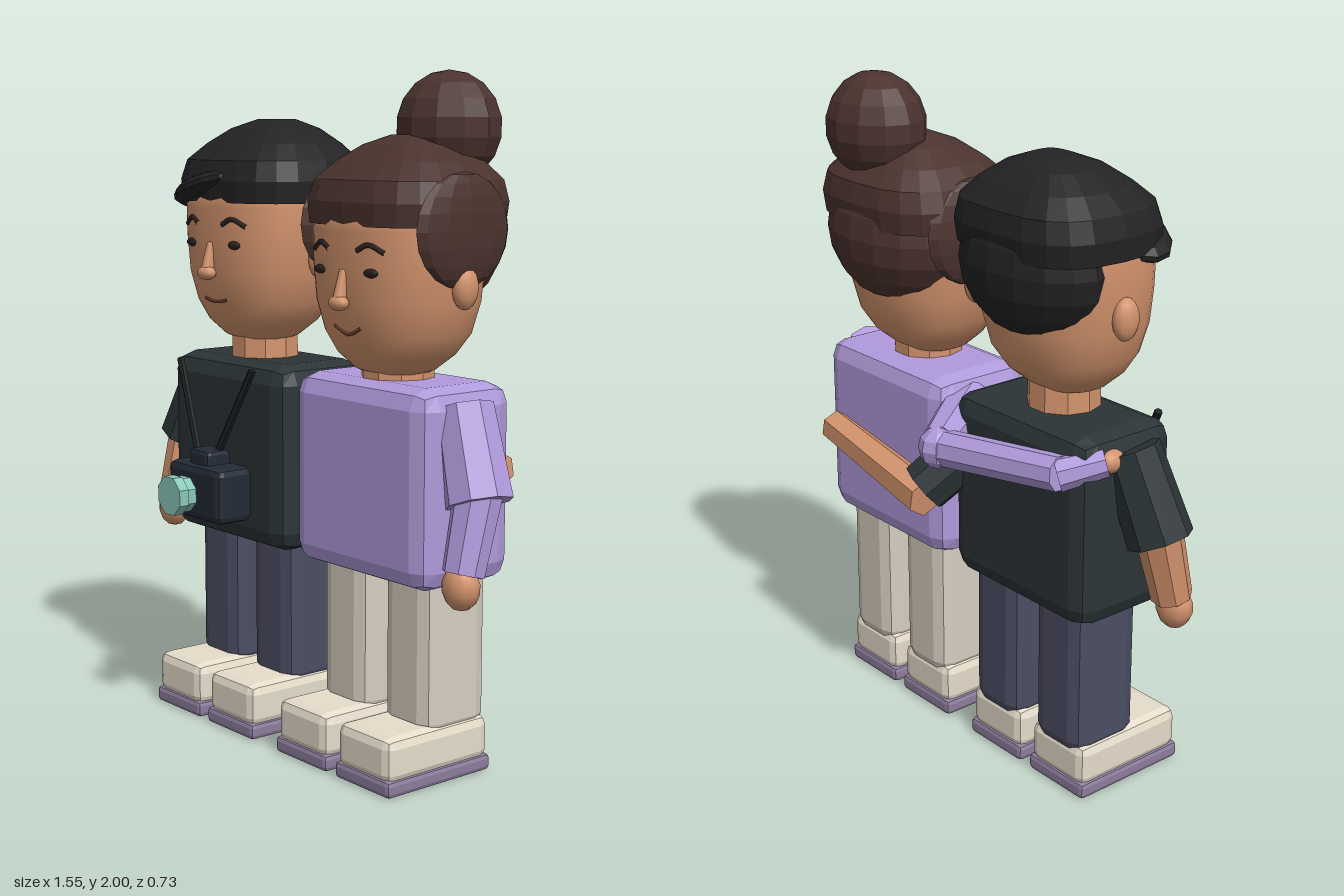
import * as THREE from 'three';
import { RoundedBoxGeometry } from 'three/addons/geometries/RoundedBoxGeometry.js';

const paint = (color, flatShading = true) => new THREE.MeshStandardMaterial({ color, flatShading });
const M = {
  skin: paint(0xd2936c, false), limbSkin: paint(0xd2936c), purple: paint(0xb09adb), dark: paint(0x2b3437),
  navy: paint(0x4b4e62), beige: paint(0xd6cec0), shoe: paint(0xe6dccb), sole: paint(0x8d7d9c),
  brown: paint(0x4b332e), black: paint(0x232325), ink: paint(0x2a211f, false), lip: paint(0x6e3c2e, false),
  gear: paint(0x232b37), strap: paint(0x1a1e20), lens: paint(0x8cc8ba),
};

function add(group, name, geometry, material, x = 0, y = 0, z = 0) {
  const mesh = new THREE.Mesh(geometry, material);
  mesh.name = name;
  mesh.position.set(x, y, z);
  group.add(mesh);
  return mesh;
}

const box = (w, h, d, r) => new RoundedBoxGeometry(w, h, d, 1, r);

function ball(group, name, material, p, r, detail = [14, 9]) {
  const mesh = add(group, name, new THREE.SphereGeometry(1, ...detail), material, ...p);
  mesh.scale.set(...r);
  return mesh;
}

// Tapered prism running from point a to point b
function limb(group, name, material, a, b, ra, rb, sides = 8) {
  const p = new THREE.Vector3(...a), q = new THREE.Vector3(...b);
  const geometry = new THREE.CylinderGeometry(rb, ra, p.distanceTo(q), sides);
  geometry.rotateY(Math.PI / sides);
  const mesh = add(group, name, geometry, material);
  mesh.position.copy(p).lerp(q, 0.5);
  mesh.quaternion.setFromUnitVectors(new THREE.Vector3(0, 1, 0), q.sub(p).normalize());
  return mesh;
}

// Closed loft through rounded-square rings: [y, half width, half depth, centre z]
function loft(rings, power, sides) {
  const pos = [], index = [], n = rings.length;
  const bend = (v) => Math.sign(v) * Math.abs(v) ** (2 / power);
  for (const [y, rx, rz, cz] of rings) {
    for (let i = 0; i < sides; i++) {
      const a = (i / sides) * Math.PI * 2;
      pos.push(rx * bend(Math.sin(a)), y, cz + rz * bend(Math.cos(a)));
    }
  }
  pos.push(0, rings[0][0], rings[0][3], 0, rings[n - 1][0], rings[n - 1][3]);
  const bottom = n * sides, top = bottom + 1;
  for (let i = 0; i < sides; i++) {
    const j = (i + 1) % sides;
    for (let k = 0; k < n - 1; k++) {
      const a = k * sides + i, b = k * sides + j;
      index.push(a, b, b + sides, a, b + sides, a + sides);
    }
    index.push(bottom, j, i, top, (n - 1) * sides + i, (n - 1) * sides + j);
  }
  const geometry = new THREE.BufferGeometry();
  geometry.setAttribute('position', new THREE.Float32BufferAttribute(pos, 3));
  geometry.setIndex(index);
  geometry.computeVertexNormals();
  return geometry;
}

const HEAD = [
  [1.185, 0.07, 0.06, -0.01], [1.205, 0.12, 0.1, -0.01], [1.25, 0.172, 0.15, -0.015], [1.31, 0.214, 0.183, -0.02],
  [1.4, 0.242, 0.203, -0.02], [1.5, 0.255, 0.207, -0.02], [1.6, 0.26, 0.207, -0.02], [1.68, 0.25, 0.2, -0.02],
];
const DOME = [
  [1.615, 0.27, 0.235, -0.05], [1.68, 0.276, 0.242, -0.052], [1.74, 0.258, 0.228, -0.055],
  [1.79, 0.205, 0.175, -0.06], [1.835, 0.135, 0.115, -0.065], [1.862, 0.06, 0.05, -0.07],
];
const POWER = 2.4;

// Depth of the face surface at a given x and y
function faceZ(x, y) {
  const k = Math.max(1, HEAD.findIndex((r) => r[0] >= y));
  const t = (y - HEAD[k - 1][0]) / (HEAD[k][0] - HEAD[k - 1][0]);
  const [, rx, rz, cz] = HEAD[k].map((v, i) => THREE.MathUtils.lerp(HEAD[k - 1][i], v, t));
  return cz + rz * (1 - Math.abs(x / rx) ** POWER) ** (1 / POWER);
}

function faceLine(group, name, points, radius, material) {
  const curve = new THREE.CatmullRomCurve3(points.map(([x, y]) => new THREE.Vector3(x, y, faceZ(x, y))));
  add(group, name, new THREE.TubeGeometry(curve, 10, radius, 6), material);
}

function makeHead(hair, smile) {
  const head = new THREE.Group();
  head.name = 'head';
  add(head, 'skull', loft(HEAD, POWER, 40), M.skin);
  for (const s of [-1, 1]) {
    ball(head, 'ear', M.skin, [s * 0.258, 1.45, -0.035], [0.032, 0.062, 0.042]);
    ball(head, 'eye', M.ink, [s * 0.107, 1.49, faceZ(0.107, 1.49)], [0.028, 0.013, 0.01]);
    faceLine(head, 'eyebrow', [[s * 0.06, 1.55], [s * 0.1, 1.567], [s * 0.15, 1.545]], 0.008, M.ink);
  }
  limb(head, 'noseBridge', M.skin, [0, 1.495, 0.182], [0, 1.4, 0.2], 0.012, 0.022, 10);
  ball(head, 'noseTip', M.skin, [0, 1.403, 0.2], [0.036, 0.022, 0.025]);
  faceLine(head, 'mouth', [[-0.056, 1.32 + smile], [0, 1.313], [0.056, 1.32 + smile]], 0.005, M.lip);
  add(head, 'hairTop', loft(DOME, 2.9, 20), hair);
  ball(head, 'hairBack', hair, [0, 1.575, -0.135], [0.255, 0.215, 0.17], [16, 10]);
  return head;
}

function makeBody(shirt, trousers, forearm, outer) {
  const body = new THREE.Group();
  body.name = 'body';
  add(body, 'torso', box(0.582, 0.57, 0.345, 0.06), shirt, 0, 0.852, -0.032);
  limb(body, 'neck', M.limbSkin, [0, 1.1, -0.02], [0, 1.24, -0.02], 0.108, 0.105, 10);
  for (const s of [-1, 1]) {
    const x = s * 0.138;
    add(body, 'leg', box(0.206, 0.5, 0.235, 0.05), trousers, x, 0.37, -0.047);
    add(body, 'shoe', box(0.23, 0.135, 0.385, 0.03), M.shoe, x, 0.1, 0.035);
    add(body, 'sole', box(0.238, 0.05, 0.392, 0.014), M.sole, x, 0.025, 0.035);
  }
  // Arm hanging on the outer side
  const o = outer;
  limb(body, 'upperArm', shirt, [o * 0.275, 1.08, -0.02], [o * 0.373, 0.83, 0.01], 0.085, 0.096);
  limb(body, 'forearm', forearm, [o * 0.365, 0.87, 0.005], [o * 0.37, 0.64, 0.065], 0.07, 0.06);
  ball(body, 'hand', M.skin, [o * 0.372, 0.605, 0.075], [0.058, 0.065, 0.05], [10, 7]);
  return body;
}

export function createModel() {
  const model = new THREE.Group();
  model.name = 'couple';

  // Man with the camera
  const man = new THREE.Group();
  man.name = 'man';
  man.position.x = -0.315;
  model.add(man);
  const manHead = makeHead(M.black, 0.002);
  man.add(manHead, makeBody(M.dark, M.navy, M.limbSkin, -1));
  const fringe = ball(manHead, 'fringe', M.black, [-0.1, 1.652, 0.1], [0.2, 0.045, 0.11]);
  fringe.rotation.set(0, -0.25, 0.24);

  // Woman with the bun
  const woman = new THREE.Group();
  woman.name = 'woman';
  woman.position.x = 0.312;
  model.add(woman);
  const womanHead = makeHead(M.brown, 0.014);
  womanHead.position.y = -0.043;
  woman.add(womanHead, makeBody(M.purple, M.beige, M.purple, 1));
  ball(womanHead, 'bun', M.brown, [0.048, 1.883, -0.163], [0.166, 0.16, 0.143], [12, 9]);
  for (const s of [-1, 1]) {
    ball(womanHead, 'sideHair', M.brown, [s * 0.248, 1.605, -0.035], [0.04, 0.16, 0.172], [12, 10]);
  }

  // Her arm across his back
  const herArm = new THREE.Group();
  herArm.name = 'herHugArm';
  model.add(herArm);
  limb(herArm, 'upperArm', M.purple, [0.06, 1.035, -0.06], [-0.1, 1.01, -0.3], 0.08, 0.06);
  ball(herArm, 'elbow', M.purple, [-0.1, 1.005, -0.305], [0.06, 0.062, 0.06], [8, 6]);
  limb(herArm, 'forearm', M.purple, [-0.1, 1.005, -0.3], [-0.53, 1.04, -0.222], 0.055, 0.052);
  limb(herArm, 'cuff', M.purple, [-0.52, 1.035, -0.225], [-0.6, 1.07, -0.12], 0.05, 0.042);
  ball(herArm, 'hand', M.skin, [-0.595, 1.065, -0.1], [0.035, 0.035, 0.045], [10, 7]);

  // His arm across her back
  const hisArm = new THREE.Group();
  hisArm.name = 'hisHugArm';
  model.add(hisArm);
  limb(hisArm, 'sleeve', M.dark, [-0.06, 0.98, -0.1], [0.03, 0.825, -0.26], 0.085, 0.08);
  limb(hisArm, 'forearm', M.limbSkin, [0.01, 0.8, -0.27], [0.52, 0.87, -0.235], 0.06, 0.05, 6);

  // Camera hanging on a neck strap
  const camera = new THREE.Group();
  camera.name = 'camera';
  camera.position.set(-0.287, 0.74, 0.215);
  model.add(camera);
  add(camera, 'cameraBody', box(0.268, 0.17, 0.13, 0.022), M.gear);
  add(camera, 'viewfinder', box(0.1, 0.08, 0.09, 0.015), M.gear, 0, 0.09, 0);
  for (const [name, r, z] of [['lensBarrel', 0.056, 0.105], ['lensRim', 0.062, 0.136]]) {
    const lens = add(camera, name, new THREE.CylinderGeometry(r, r, 0.033, 8).rotateY(Math.PI / 8), M.lens, 0, 0, z);
    lens.rotation.x = Math.PI / 2;
  }
  limb(model, 'strap', M.strap, [-0.51, 1.12, 0.165], [-0.345, 0.81, 0.21], 0.012, 0.012, 6);
  limb(model, 'strap', M.strap, [-0.135, 1.12, 0.165], [-0.285, 0.81, 0.21], 0.012, 0.012, 6);

  return model;
}
